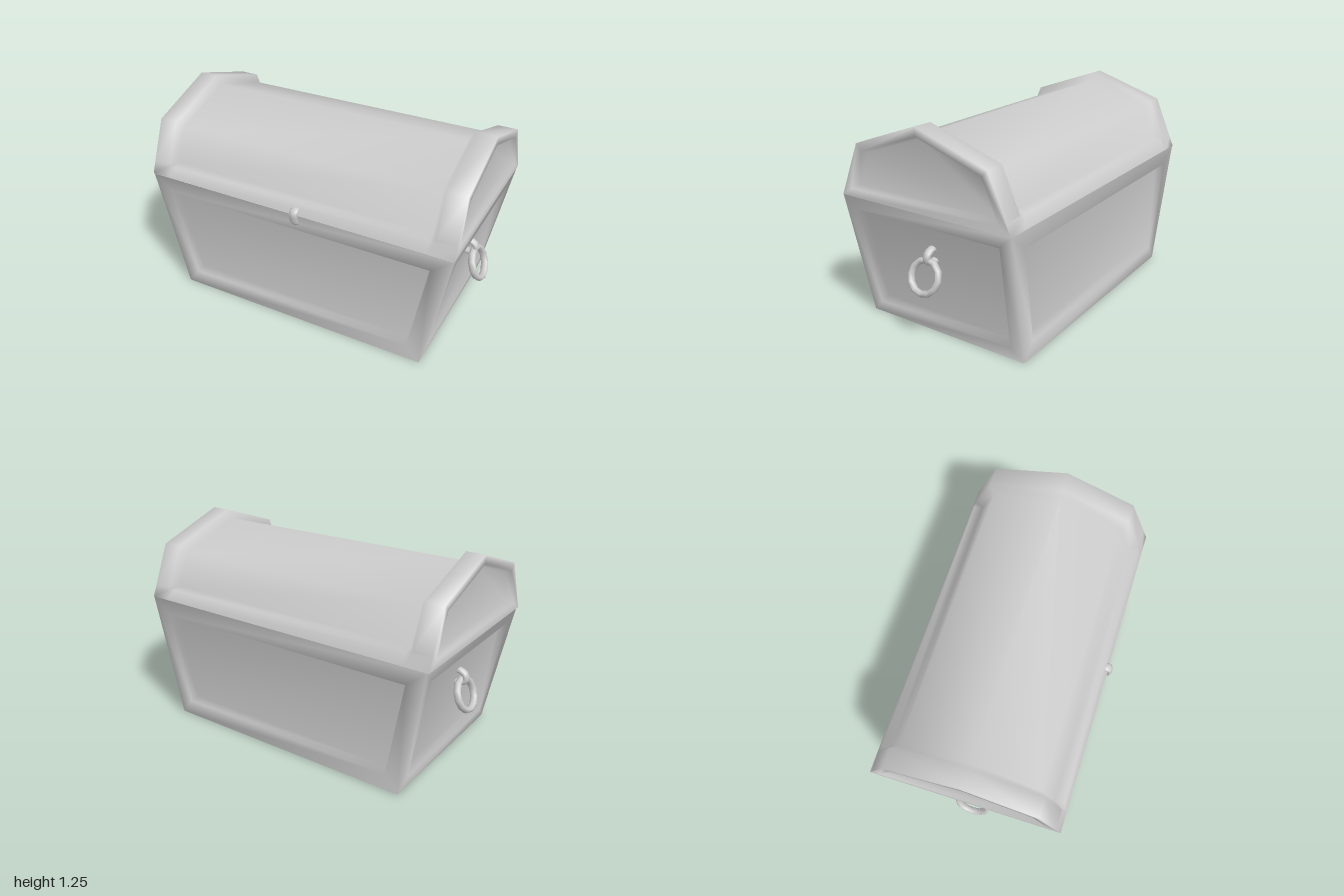
import * as THREE from 'three';
import { mergeVertices } from 'three/addons/utils/BufferGeometryUtils.js';

const V = (x, y, z) => new THREE.Vector3(x, y, z);
const CENTRE = V(-0.015, 0.6, -0.012);

// Collects triangles; corners run counter-clockwise seen from outside
function shell() {
  const pos = [];
  const tri = (...p) => p.forEach(v => pos.push(v.x, v.y, v.z));
  const quad = (a, b, c, d) => { tri(a, b, c); tri(a, c, d); };
  const build = () => {
    const g = new THREE.BufferGeometry();
    g.setAttribute('position', new THREE.Float32BufferAttribute(pos, 3));
    const m = mergeVertices(g, 1e-4);
    m.computeVertexNormals();
    return m;
  };
  return { tri, quad, build };
}

function planeNormal(pts) {
  return V(0, 0, 0).crossVectors(pts[1].clone().sub(pts[0]), pts[2].clone().sub(pts[0])).normalize();
}

// Moves every edge of a planar polygon inwards by d and sinks it by depth
function inset(pts, n, d, depth) {
  const k = pts.length;
  return pts.map((p, i) => {
    const a = n.clone().cross(p.clone().sub(pts[(i + k - 1) % k]).normalize());
    const b = n.clone().cross(pts[(i + 1) % k].clone().sub(p).normalize());
    const s = d / (1 + a.dot(b));
    return p.clone().addScaledVector(a.add(b), s).addScaledVector(n, -depth);
  });
}

// Flat frame, sloping lip and sunken panel inside one polygon
function framedPanel(s, pts, width, depth) {
  let n = planeNormal(pts);
  if (n.dot(pts[0].clone().sub(CENTRE)) < 0) {
    pts = [...pts].reverse();
    n = planeNormal(pts);
  }
  const rings = [pts, inset(pts, n, width, 0), inset(pts, n, width + 0.018, depth)];
  for (let r = 0; r < 2; r++) {
    pts.forEach((_, i) => {
      const j = (i + 1) % pts.length;
      s.quad(rings[r][i], rings[r][j], rings[r + 1][j], rings[r + 1][i]);
    });
  }
  const f = rings[2];
  for (let i = 1; i < f.length - 1; i++) s.tri(f[0], f[i], f[i + 1]);
}

export function createModel() {
  const group = new THREE.Group();
  const mat = new THREE.MeshStandardMaterial({ color: 0xcccccc });
  const twoSided = new THREE.MeshStandardMaterial({ color: 0xcccccc, side: THREE.DoubleSide });
  const add = (parent, name, geo, m = mat) => {
    const mesh = new THREE.Mesh(geo, m);
    mesh.name = name;
    parent.add(mesh);
    return mesh;
  };

  // Tapered body with four framed sides
  const H = 0.785;
  const rect = (x0, x1, z0, z1, y) => [V(x0, y, z1), V(x1, y, z1), V(x1, y, z0), V(x0, y, z0)];
  const low = rect(-0.835, 0.805, -0.555, 0.535, 0);
  const high = rect(-0.99, 0.96, -0.585, 0.56, H);
  const body = shell();
  for (let i = 0; i < 4; i++) {
    const j = (i + 1) % 4;
    framedPanel(body, [low[i], low[j], high[j], high[i]], i % 2 ? 0.08 : 0.1, 0.05);
  }
  add(group, 'body', body.build());

  // Flat base and the board that closes the seam under the lid
  const base = shell();
  base.quad(low[3], low[2], low[1], low[0]);
  add(group, 'base', base.build());
  const seam = shell();
  seam.quad(...high);
  add(group, 'seamBoard', seam.build(), twoSided);

  // Lid: raised rib at both ends, low rim front and back, sunken middle
  const rib = [[0.558, H], [0.531, 0.85], [0.526, 0.862], [0.425, 1.1], [0, 1.25],
    [-0.45, 1.1], [-0.552, 0.862], [-0.557, 0.85], [-0.585, H]];
  const middle = [[0.558, H], [0.531, 0.85], [0.477, 0.862], [0.392, 1.06], [0, 1.198],
    [-0.417, 1.06], [-0.503, 0.862], [-0.557, 0.85], [-0.585, H]];
  const section = (x, profile) => profile.map(([z, y]) => V(x, y, z));
  const sections = [
    section(-1, rib), section(-0.885, rib), section(-0.85, middle),
    section(0.805, middle), section(0.84, rib), section(0.963, rib),
  ];
  const lid = shell();
  for (let s = 0; s < sections.length - 1; s++) {
    const a = sections[s], b = sections[s + 1];
    for (let i = 0; i < a.length - 1; i++) lid.quad(a[i], b[i], b[i + 1], a[i + 1]);
  }
  for (const end of [sections[0], sections[5]]) {
    framedPanel(lid, [0, 3, 4, 5, 8].map(i => end[i]), 0.048, 0.04);
  }
  add(group, 'lid', lid.build());

  // Bent loop of thick wire
  const loop = (pts, r) => new THREE.TubeGeometry(
    new THREE.CatmullRomCurve3(pts.map(p => V(...p))), 12, r, 8);

  // Ring handles hanging from staples on both ends
  for (const side of [1, -1]) {
    const handle = new THREE.Group();
    handle.name = side > 0 ? 'leftHandle' : 'rightHandle';
    const staple = loop([
      [0.84, 0.552, 0], [0.885, 0.55, 0], [0.915, 0.525, 0],
      [0.91, 0.49, 0], [0.88, 0.478, 0], [0.82, 0.482, 0],
    ], 0.018).scale(1, 1, 1.4);
    add(handle, 'staple', staple, twoSided).position.x = side > 0 ? 0 : 0.025;
    const ring = new THREE.TorusGeometry(0.094, 0.018, 8, 12);
    ring.scale(1, 1, 1.3).rotateY(Math.PI / 2).rotateZ(0.37);
    add(handle, 'ring', ring).position.set(side > 0 ? 0.94 : 0.945, 0.413, 0);
    if (side < 0) handle.rotation.y = Math.PI;
    group.add(handle);
  }

  // Small clasp over the seam at the front
  const clasp = loop([
    [0, 0.81, 0.51], [0, 0.814, 0.55], [0, 0.8, 0.57],
    [0, 0.765, 0.57], [0, 0.735, 0.56], [0, 0.732, 0.53],
  ], 0.014).scale(2, 1, 1);
  add(group, 'clasp', clasp, twoSided).position.x = 0.015;

  return group;
}
